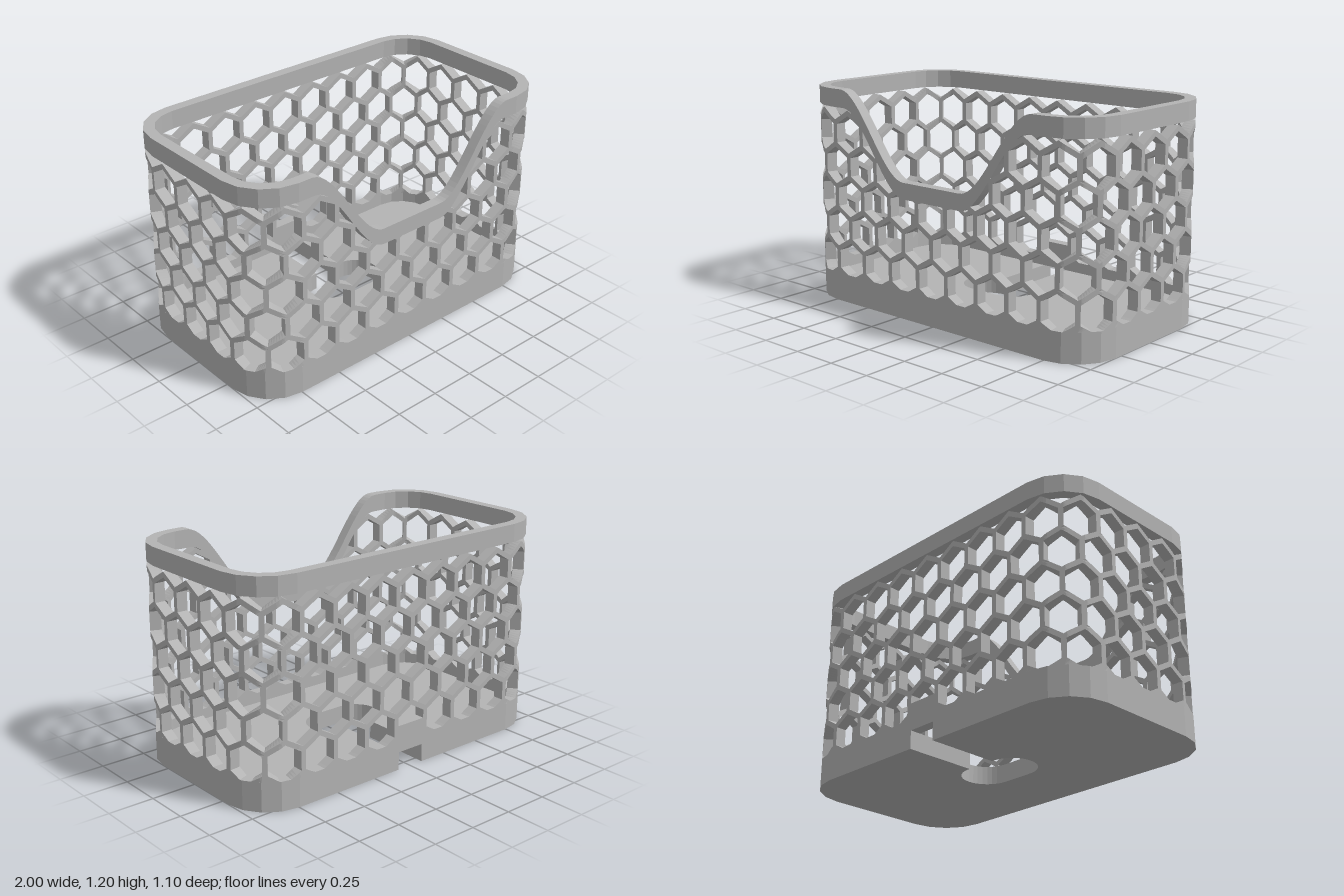
import * as THREE from 'three';

const CX = 0.745, CZ = 0.295, RAD = 0.255;   // corner centres and radius
const WALL = 0.06, FLOOR = 0.1, SKIRT = 0.16;
const COLS = 28, ROWS = 5, BAR = 0.027;

// Rounded-rectangle outline, starting at the front centre and running to +x
const outline = [{ cx: 0, nx: 0, cz: CZ, nz: 1 }];
[[1, 1], [1, -1], [-1, -1], [-1, 1]].forEach(([sx, sz], k) => {
  for (let j = 0; j <= 4; j++) {
    const a = (k + j / 4) * Math.PI / 2;
    outline.push({ cx: sx * CX, cz: sz * CZ, nx: Math.sin(a), nz: Math.cos(a) });
  }
});
outline.push({ ...outline[0] });
const inset = (p, d) => [p.cx + p.nx * (RAD - d), p.cz + p.nz * (RAD - d)];
outline.forEach((p, i) => {
  const [x, z] = inset(p, 0);
  const [px, pz] = i ? inset(outline[i - 1], 0) : [x, z];
  p.s = (i ? outline[i - 1].s : 0) + Math.hypot(x - px, z - pz);
});
const LENGTH = outline[outline.length - 1].s;

// Point on the wall: distance s round the outline, height y, depth d inward
function wallPoint(s, y, d) {
  s = ((s % LENGTH) + LENGTH) % LENGTH;
  let i = 1;
  while (i < outline.length - 1 && outline[i].s < s) i++;
  const a = outline[i - 1], b = outline[i], t = (s - a.s) / (b.s - a.s);
  const [ax, az] = inset(a, d), [bx, bz] = inset(b, d);
  return [ax + (bx - ax) * t, y, az + (bz - az) * t];
}

// Rim edges: level all round, dipping at the front
const frontX = (s) => {
  s = ((s % LENGTH) + LENGTH) % LENGTH;
  return Math.min(s, LENGTH - s);
};
const rimTop = (s) => 0.75 + 0.45 * THREE.MathUtils.smoothstep(frontX(s), 0.2, 0.67);
const rimBottom = (s) => 0.66 + 0.44 * THREE.MathUtils.smoothstep(frontX(s), 0.2, 0.65);
const rimMiddle = (s) => (rimTop(s) + rimBottom(s)) / 2;

// Collects quads into a geometry
function quadBuilder() {
  const pos = [];
  return {
    quad(a, b, c, d) { pos.push(...a, ...b, ...c, ...a, ...c, ...d); },
    build() {
      const g = new THREE.BufferGeometry();
      g.setAttribute('position', new THREE.Float32BufferAttribute(pos, 3));
      g.computeVertexNormals();
      return g;
    },
  };
}

// Closed band following the outline between two height rules
function band(low, high) {
  const stops = outline.map((p) => p.s);
  for (let i = 1; i < 36; i++) stops.push(i * 0.02, LENGTH - i * 0.02);
  stops.sort((a, b) => a - b);
  const q = quadBuilder();
  for (let i = 1; i < stops.length; i++) {
    const [s0, s1] = [stops[i - 1], stops[i]];
    const corner = (s, f, d) => wallPoint(Math.min(s, LENGTH - 1e-7), f(s), d);
    const [a, b, c, e] = [corner(s0, low, 0), corner(s1, low, 0), corner(s1, high, 0), corner(s0, high, 0)];
    const [a2, b2, c2, e2] = [corner(s0, low, WALL), corner(s1, low, WALL), corner(s1, high, WALL), corner(s0, high, WALL)];
    q.quad(a, b, c, e);
    q.quad(b2, a2, e2, c2);
    q.quad(e, c, c2, e2);
    q.quad(b, a, a2, b2);
  }
  return q.build();
}

// Honeycomb wall: hexagonal frames wrapped round the outline
function honeycomb() {
  const q = quadBuilder(), STEPS = 6;
  const pitch = LENGTH / COLS, R = pitch / Math.sqrt(3);
  const holeR = R - BAR / Math.sqrt(3), rise = BAR / Math.sqrt(3);
  for (let row = 0; row < ROWS; row++) {
    for (let col = 0; col < COLS; col++) {
      const s = (col + (row % 2) / 2) * pitch, y = 0.245 + row * R * 1.5;
      if (y - R > rimTop(s)) continue;
      const top = row === ROWS - 1;
      const vertex = (k, r) => {
        const a = Math.PI / 6 + k * Math.PI / 3;
        let vy = y + r * Math.sin(a);
        if (r === R && top && Math.sin(a) > 0) vy += rise;
        if (r === R && row === 0 && Math.sin(a) < 0) vy = SKIRT;
        return [s + r * Math.cos(a), vy];
      };
      // Trim to the skirt below and to the middle of the rim above
      const along = (k, r, t, d) => {
        const a = vertex(k, r), b = vertex(k + 1, r);
        const ps = a[0] + (b[0] - a[0]) * t, py = a[1] + (b[1] - a[1]) * t;
        return wallPoint(ps, Math.max(SKIRT, Math.min(py, rimMiddle(ps))), d);
      };
      for (let k = 0; k < 6; k++) {
        for (let i = 0; i < STEPS; i++) {
          const t0 = i / STEPS, t1 = (i + 1) / STEPS;
          const [o0, o1, h0, h1] = [along(k, R, t0, 0), along(k, R, t1, 0), along(k, holeR, t0, 0), along(k, holeR, t1, 0)];
          const [p0, p1, g0, g1] = [along(k, R, t0, WALL), along(k, R, t1, WALL), along(k, holeR, t0, WALL), along(k, holeR, t1, WALL)];
          q.quad(o0, o1, h1, h0);
          q.quad(g0, g1, p1, p0);
          q.quad(h0, h1, g1, g0);
          if (top && k < 2) q.quad(o1, o0, p0, p1);
        }
      }
    }
  }
  return q.build();
}

// Floor plate with a rounded opening and a slot running out at the back
function floorPlate() {
  const pts = outline.slice(1, -1).map((p) => {
    const [x, z] = inset(p, 0);
    return new THREE.Vector2(x, -z);
  });
  const back = CZ + RAD, w = 0.083, r = 0.137, c = 0.093;
  const cut = [new THREE.Vector2(w, back), new THREE.Vector2(w, r)];
  for (const [cx, start] of [[c, Math.PI / 2], [-c, -Math.PI / 2]]) {
    for (let i = 0; i <= 16; i++) {
      const a = start - Math.PI * i / 16;
      cut.push(new THREE.Vector2(cx + r * Math.cos(a), r * Math.sin(a)));
    }
  }
  cut.push(new THREE.Vector2(-w, r), new THREE.Vector2(-w, back));
  pts.splice(10, 0, ...cut);
  const g = new THREE.ExtrudeGeometry(new THREE.Shape(pts), { depth: FLOOR, bevelEnabled: false });
  return g.rotateX(-Math.PI / 2);
}

export function createModel() {
  const group = new THREE.Group();
  const grey = new THREE.MeshStandardMaterial({ color: 0xb3b3b3, flatShading: true });
  grey.name = 'grey';
  const add = (name, geometry) => {
    const mesh = new THREE.Mesh(geometry, grey);
    mesh.name = name;
    group.add(mesh);
    return mesh;
  };
  add('floor', floorPlate());
  add('skirt', band(() => FLOOR, () => SKIRT));
  add('honeycombWall', honeycomb());
  add('rim', band(rimBottom, rimTop));
  // Solid bridge above the slot in the back wall
  add('slotBridge', new THREE.BoxGeometry(0.18, 0.15, WALL)).position.set(0, 0.175, -(CZ + RAD - WALL / 2));
  return group;
}
